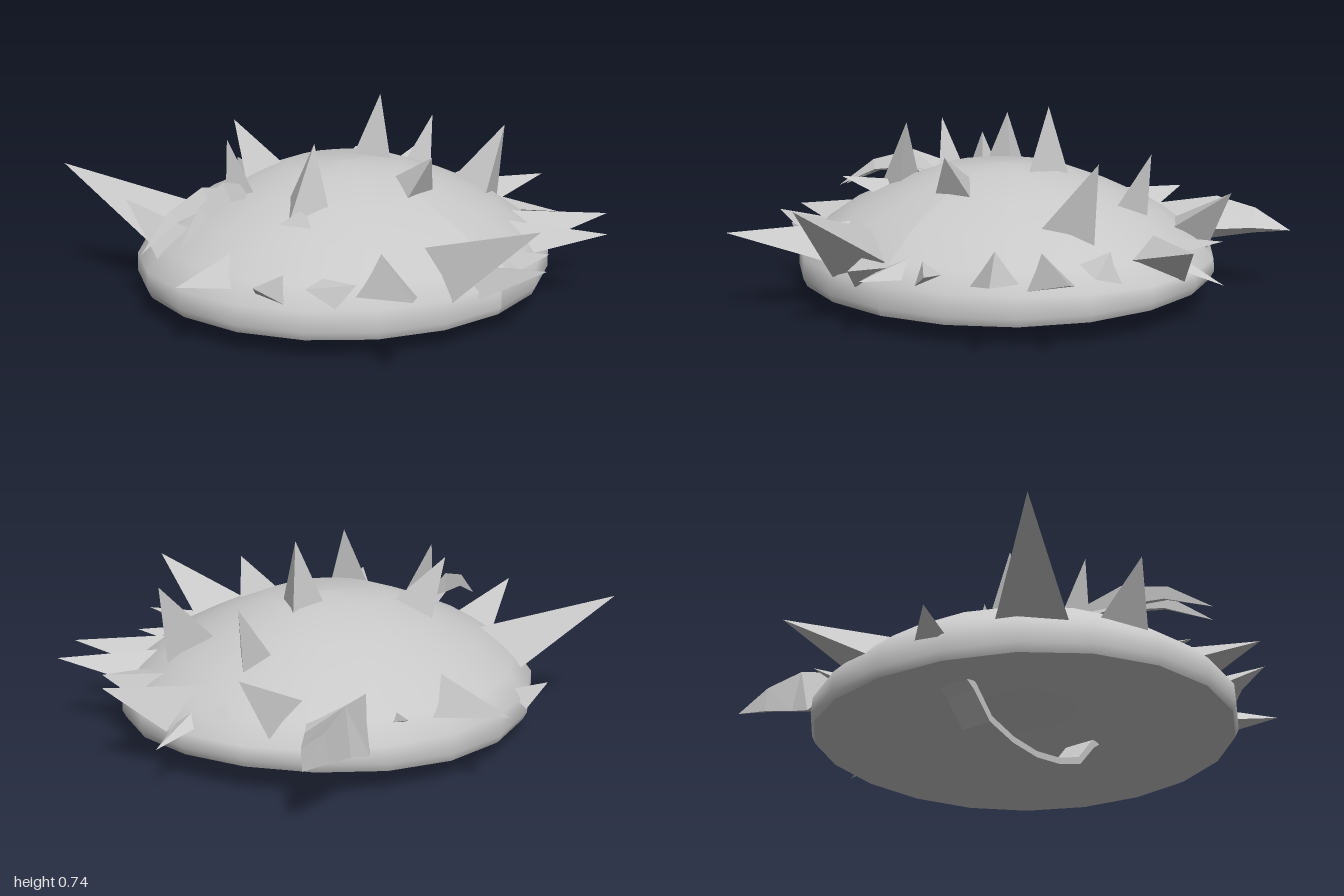
import * as THREE from 'three';

const ZS = 0.94, ZC = -0.04; // dome is slightly squashed in z and shifted back
const PROFILE = [[0.81, 0.07], [0.825, 0.1], [0.822, 0.18], [0.75, 0.25], [0.62, 0.34], [0.43, 0.425], [0.24, 0.492], [0, 0.505]];

// height of the dome surface over a point
function domeY(x, z) {
  const r = Math.hypot(x, (z - ZC) / ZS);
  for (let i = PROFILE.length - 1; i > 2; i--) {
    const [r0, y0] = PROFILE[i], [r1, y1] = PROFILE[i - 1];
    if (r <= r1) return y0 + (y1 - y0) * (r - r0) / (r1 - r0);
  }
  return 0.18;
}

function domeNormal(x, z) {
  const e = 0.03;
  return new THREE.Vector3(
    (domeY(x - e, z) - domeY(x + e, z)) / (2 * e), 1,
    (domeY(x, z - e) - domeY(x, z + e)) / (2 * e)).normalize();
}

// lathe whose lower rim rises a little at both sides
function shell(points) {
  const geo = new THREE.LatheGeometry(points.map(p => new THREE.Vector2(p[0], p[1])), 20);
  const pos = geo.attributes.position;
  for (let i = 0; i < pos.count; i++) {
    const x = pos.getX(i), y = pos.getY(i), z = pos.getZ(i) * ZS;
    const lift = (x > 0 ? 0.03 : 0.01) * (x / 0.82) ** 2 * (1 - z);
    pos.setXYZ(i, x, y < 0.12 ? y + lift : y, z + ZC);
  }
  geo.computeVertexNormals();
  return geo;
}

// three-sided thorn from a base on the dome to a tip; bow bends it upward, flat narrows it
function thornGeometry(x, z, tip, size, { bow = 0, flat = 1 } = {}) {
  const n = domeNormal(x, z);
  const base = new THREE.Vector3(x, domeY(x, z), z).addScaledVector(n, -0.02);
  const mid = base.clone().lerp(tip, 0.5);
  mid.y += bow;
  const curve = new THREE.QuadraticBezierCurve3(base, mid, tip);
  const steps = bow ? 3 : 1;
  const side = n.clone().cross(tip.clone().sub(base)).normalize();
  const rings = [];
  for (let k = 0; k < steps; k++) {
    const t = k / steps;
    const axis = k ? curve.getTangent(t) : n;
    const across = side.clone().cross(axis);
    const r = size * (1 - 0.85 * t);
    rings.push([1, 5 / 3, 7 / 3].map(a => curve.getPoint(t)
      .addScaledVector(across, r * Math.cos(a * Math.PI))
      .addScaledVector(side, r * flat * Math.sin(a * Math.PI))));
  }
  rings.push([tip, tip, tip]);
  const out = [];
  const tri = (...v) => v.forEach(p => out.push(p.x, p.y, p.z));
  for (let k = 0; k < steps; k++) {
    const low = rings[k], high = rings[k + 1];
    for (let i = 0; i < 3; i++) {
      const j = (i + 1) % 3;
      tri(low[i], low[j], high[j]);
      if (k < steps - 1) tri(low[i], high[j], high[i]);
    }
  }
  const geo = new THREE.BufferGeometry();
  geo.setAttribute('position', new THREE.Float32BufferAttribute(out, 3));
  geo.computeVertexNormals();
  return geo;
}

// thorn leaning away from the dome centre, its base inward of the tip by its size, unless a base is given
function leaningThorn([x, y, z, size, baseX, baseZ], pull) {
  const k = 1 - pull * size / Math.hypot(x, z - ZC);
  return thornGeometry(baseX ?? x * k, baseZ ?? ZC + (z - ZC) * k, new THREE.Vector3(x, y, z), size);
}

// tip x, y, z, size and for some the base x, z of the steep thorns on top
const CROWN = [
  [0.2, 0.735, -0.04, 0.095, 0.18, -0.045], [-0.24, 0.645, -0.41, 0.1], [0.025, 0.58, 0.38, 0.095],
  [0.6, 0.595, 0.27, 0.115, 0.48, 0.25], [0.6, 0.58, -0.11, 0.075], [-0.34, 0.655, 0.14, 0.1, -0.4, 0.13],
  [-0.44, 0.63, -0.22, 0.07, -0.4, -0.2],
];

// the same for the thorns splayed around the rim
const RIM = [
  [-0.71, 0.47, -0.89, 0.14, -0.47, -0.56], [0.28, 0.3, -1, 0.13, 0.16, -0.71], // back
  [-0.25, 0.24, -0.86, 0.06, -0.21, -0.78], [0.44, 0.27, -0.71, 0.03],
  [0.83, 0.43, -0.31, 0.11, 0.65, -0.31], [0.94, 0.32, 0.22, 0.13, 0.73, 0.07], // left
  [0.94, 0.155, -0.03, 0.06], [0.87, 0.28, -0.16, 0.05],
  [0.71, 0.25, 0.47, 0.1, 0.64, 0.28], [0.74, 0.28, 0.68, 0.1], [0.53, 0.27, 0.82, 0.1],
  [0.23, 0.25, 0.77, 0.065, 0.15, 0.66], [-0.01, 0.21, 0.82, 0.065, 0.05, 0.66], // front
  [-0.14, 0.465, 0.99, 0.135, -0.15, 0.64], [0.02, 0.27, 0.91, 0.09, -0.08, 0.68], [-0.61, 0.31, 0.85, 0.125],
  [-0.68, 0.27, 0.44, 0.08, -0.53, 0.47], [-0.83, 0.29, 0.35, 0.07, -0.68, 0.29], // right
  [-0.95, 0.26, 0.1, 0.1, -0.73, 0.06], [-0.79, 0.44, -0.38, 0.1, -0.66, -0.31], [-0.6, 0.43, 0.23, 0.08, -0.42, 0.15],
];

// curved strap with end tabs
function strapGeometry() {
  const half = [[0.42, 0.2], [0.36, 0.16], [0.27, 0.065], [0.14, 0.025]];
  const line = [...half, [0, 0.01], ...half.slice().reverse().map(([z, y]) => [-z, y])];
  const shape = new THREE.Shape(line.map(([z, y]) => new THREE.Vector2(z, y)));
  line.slice().reverse().forEach(([z, y]) => shape.lineTo(z * 0.96, y + 0.025));
  shape.closePath();
  const geo = new THREE.ExtrudeGeometry(shape, { depth: 0.13, bevelEnabled: false });
  geo.rotateY(-Math.PI / 2);
  geo.translate(0.06, -0.01, ZC);
  return geo;
}

export function createModel() {
  const group = new THREE.Group();
  const steel = new THREE.MeshStandardMaterial({ color: 0xc8c8c8, side: THREE.DoubleSide });
  steel.name = 'grey';
  const add = (name, geo) => {
    const mesh = new THREE.Mesh(geo, steel);
    mesh.name = name;
    group.add(mesh);
  };

  add('dome', shell(PROFILE));
  add('hollowUnderside', shell([[0, 0.21], [0.2, 0.205], [0.42, 0.18], [0.62, 0.13], [0.79, 0.075], [0.81, 0.07]]));
  add('handStrap', strapGeometry());

  CROWN.forEach((t, i) => add('crownThorn' + (i + 1), leaningThorn(t, 1)));
  RIM.forEach((t, i) => add('rimThorn' + (i + 1), leaningThorn(t, 3)));

  // long bent thorn at the back left and two thin blades on the right
  add('bentThorn', thornGeometry(0.53, -0.53, new THREE.Vector3(0.93, 0.24, -0.65), 0.14, { bow: 0.05 }));
  add('rearBlade', thornGeometry(-0.42, -0.22, new THREE.Vector3(-0.91, 0.31, -0.14), 0.07, { bow: 0.14, flat: 0.5 }));
  add('frontBlade', thornGeometry(-0.38, -0.19, new THREE.Vector3(-0.84, 0.33, -0.02), 0.07, { bow: 0.14, flat: 0.5 }));
  return group;
}
